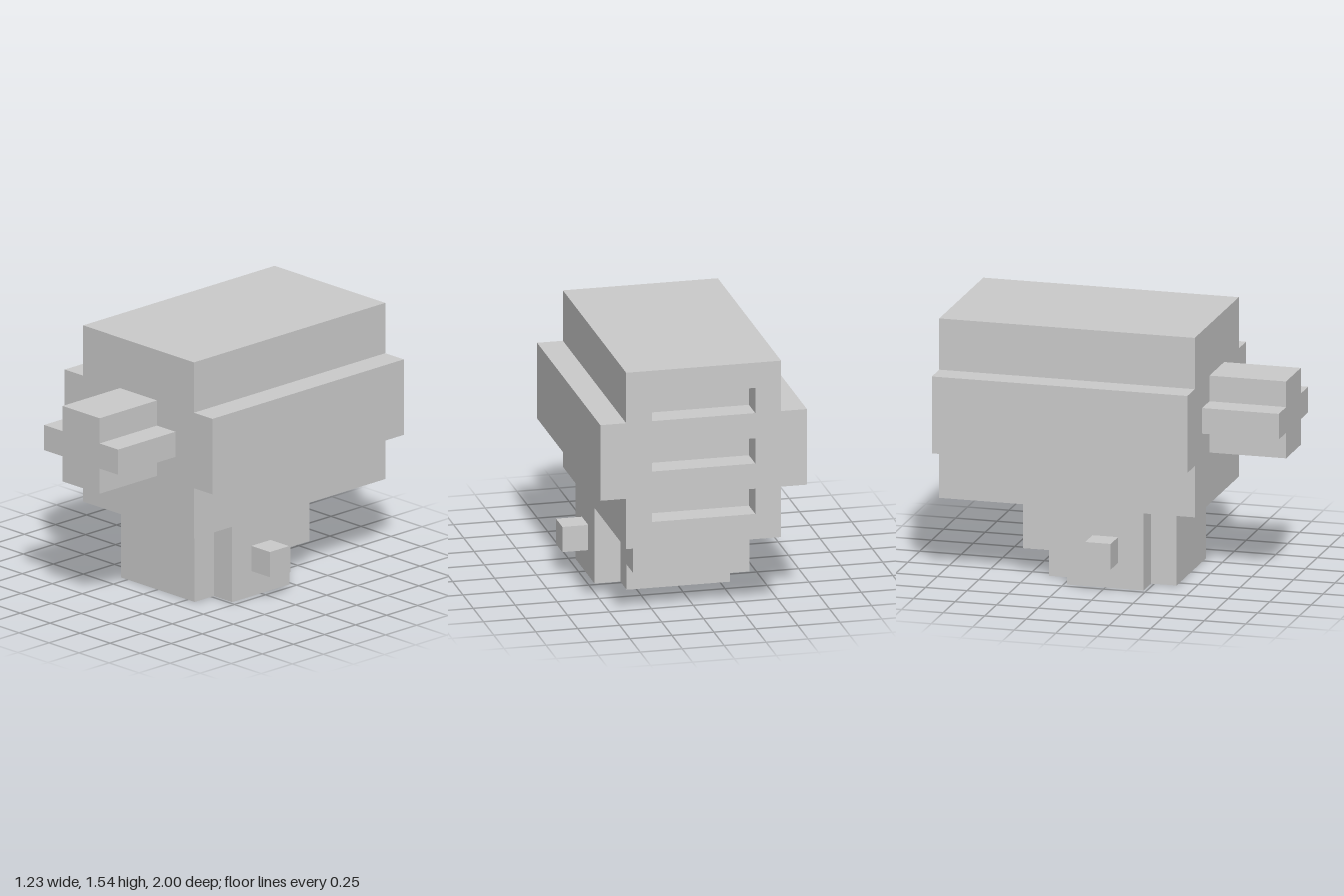
import * as THREE from 'three';

const U = 2 / 13; // one grid cell
const grey = new THREE.MeshStandardMaterial({ color: 0xcccccc, flatShading: true });

function add(parent, name, geometry) {
  const mesh = new THREE.Mesh(geometry, grey);
  mesh.name = name;
  parent.add(mesh);
  return mesh;
}

// Box given by its lower and upper corners, in cells
function box(parent, name, [x0, y0, z0], [x1, y1, z1]) {
  const mesh = add(parent, name, new THREE.BoxGeometry((x1 - x0) * U, (y1 - y0) * U, (z1 - z0) * U));
  mesh.position.set((x0 + x1) / 2 * U, (y0 + y1) / 2 * U, (z0 + z1) / 2 * U);
}

// Plus-shaped outline: a tall bar (w1 x h1) crossed with a wide bar (w2 x h2), half sizes in cells
function plus(w1, h1, w2, h2) {
  return new THREE.Shape([
    [w2, -h2], [w2, h2], [w1, h2], [w1, h1], [-w1, h1], [-w1, h2],
    [-w2, h2], [-w2, -h2], [-w1, -h2], [-w1, -h1], [w1, -h1], [w1, -h2],
  ].map(([x, y]) => new THREE.Vector2(x * U, y * U)));
}

const extrude = (shape, cells) =>
  new THREE.ExtrudeGeometry(shape, { depth: cells * U, bevelEnabled: false });

export function createModel() {
  const model = new THREE.Group();
  model.name = 'blockHead';

  // Main body with side ribs
  const body = add(model, 'body', extrude(plus(3, 3.5, 4, 1.5), 9));
  body.position.set(0, 6.5 * U, -5.5 * U);

  // Rear layer, pierced by three slots one cell deep
  const rear = plus(3, 3.5, 4, 1.5);
  for (const y of [-2, 0, 2]) {
    rear.holes.push(new THREE.Path(
      [[-2, -0.5], [-2, 0.5], [2, 0.5], [2, -0.5]]
        .map(([px, py]) => new THREE.Vector2(px * U, (y + py) * U))));
  }
  const vent = add(model, 'slottedRear', extrude(rear, 1));
  vent.position.set(0, 6.5 * U, -6.5 * U);

  // Cross-shaped snout
  const snout = add(model, 'snout', extrude(plus(1, 1.5, 2, 0.5), 3));
  snout.position.set(0, 6.5 * U, 3.5 * U);

  // Base with notched corners, and the ledge behind it
  const base = add(model, 'base', extrude(plus(2, 2.5, 3, 1.5), 3));
  base.rotation.x = -Math.PI / 2;
  box(model, 'rearLedge', [-2, 1, -3.5], [2, 3, -2.5]);

  // Side pegs
  box(model, 'leftPeg', [3, 1, -0.5], [4, 2, 0.5]);
  box(model, 'rightPeg', [-4, 1, -0.5], [-3, 2, 0.5]);

  return model;
}
